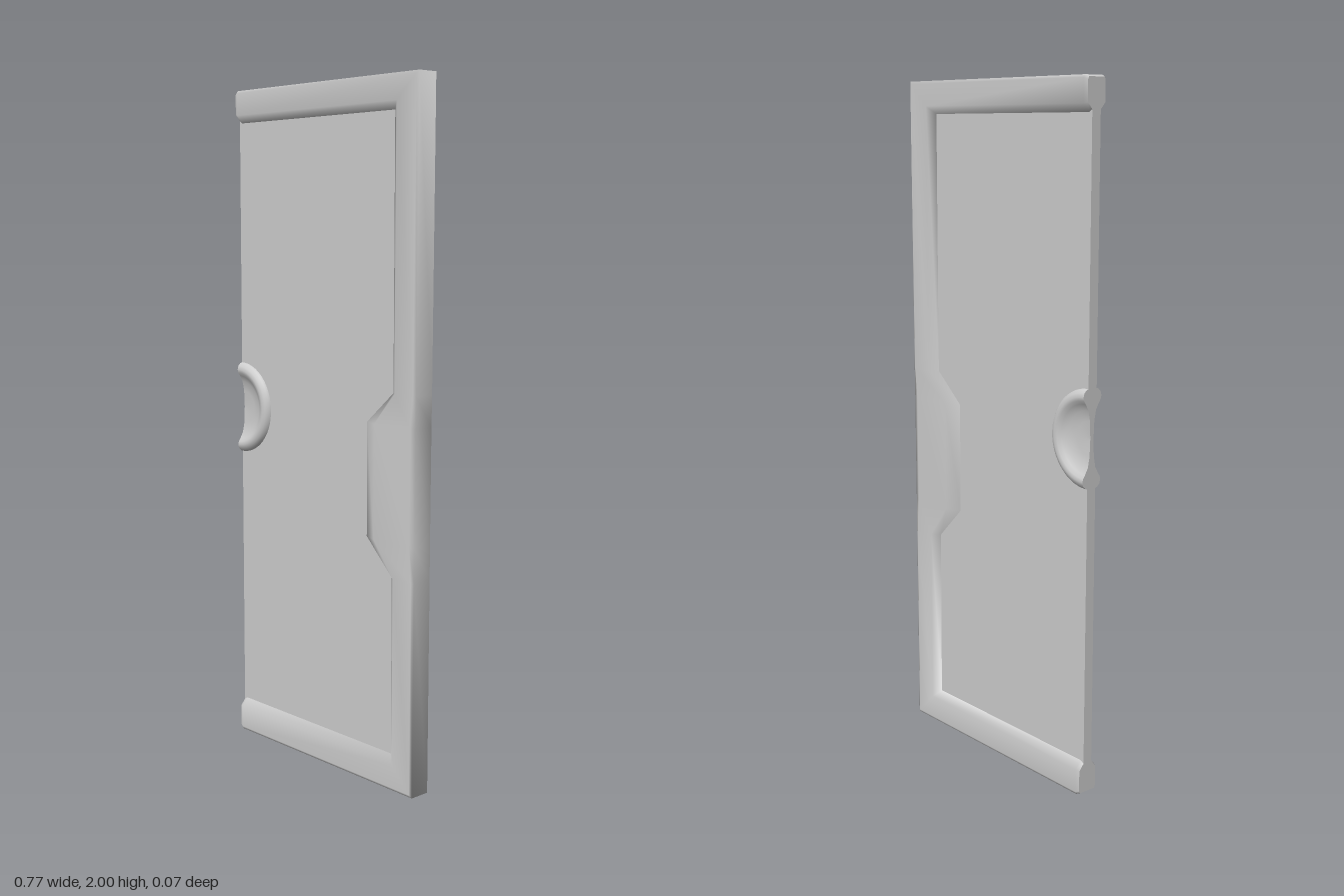
import * as THREE from 'three';

const LEFT = -0.388, PANEL_Z = 0.015, HANDLE_Y = 1.04;

// Sweeps a closed cross-section along pairs of outer and inner outline points
function frameGeometry(stations, half) {
  const loop = [...half, ...half.map(([t, z]) => [t, -z]).reverse()];
  const n = loop.length, pos = [], idx = [];
  const ring = ([ox, oy, ix, iy, s = 1]) => {
    for (const [t, z] of loop) pos.push(ox + (ix - ox) * t, oy + (iy - oy) * t, z * s);
  };
  stations.forEach(ring);
  for (let i = 0; i < stations.length - 1; i++) {
    for (let j = 0; j < n; j++) {
      const a = i * n + j, b = i * n + (j + 1) % n;
      idx.push(a, b, a + n, b, b + n, a + n);
    }
  }
  // flat caps on the two open ends, with their own vertices
  [stations[0], stations[stations.length - 1]].forEach((st, end) => {
    const base = pos.length / 3;
    ring(st);
    for (let j = 1; j < n - 1; j++) {
      idx.push(base, base + (end ? j : j + 1), base + (end ? j + 1 : j));
    }
  });
  const g = new THREE.BufferGeometry();
  g.setAttribute('position', new THREE.Float32BufferAttribute(pos, 3));
  g.setIndex(idx);
  g.computeVertexNormals();
  return g;
}

export function createModel() {
  const group = new THREE.Group();
  group.name = 'slidingDoor';
  const mat = new THREE.MeshStandardMaterial({ color: 0xcccccc });
  const add = (name, geometry, parent = group) => {
    const mesh = new THREE.Mesh(geometry, mat);
    mesh.name = name;
    parent.add(mesh);
    return mesh;
  };

  // Thin panel with a half-round notch for the handle
  const s = new THREE.Shape();
  s.moveTo(LEFT, 0.03);
  s.lineTo(0.34, 0.03);
  s.lineTo(0.34, 1.97);
  s.lineTo(LEFT, 1.97);
  s.lineTo(LEFT, HANDLE_Y + 0.095);
  s.absarc(LEFT, HANDLE_Y, 0.095, Math.PI / 2, -Math.PI / 2, true);
  s.closePath();
  const panel = new THREE.ExtrudeGeometry(s, { depth: 2 * PANEL_Z, bevelEnabled: false, curveSegments: 24 });
  add('panel', panel.translate(0, 0, -PANEL_Z));

  // Raised frame on three sides, widened on the right: outer x, y, inner x, y, depth scale
  const stations = [
    [LEFT, 1.995, LEFT, 1.91, 0.88],
    [LEFT + 0.012, 2, LEFT + 0.012, 1.905],
    [0.387, 2, 0.28, 1.905],
    [0.384, 1.14, 0.28, 1.14],
    [0.383, 1.05, 0.175, 1.05],
    [0.382, 0.72, 0.175, 0.72],
    [0.382, 0.62, 0.277, 0.62],
    [0.381, 0, 0.28, 0.1],
    [LEFT + 0.012, 0, LEFT + 0.012, 0.1],
    [LEFT, 0.005, LEFT, 0.095, 0.88],
  ];
  add('frame', frameGeometry(stations, [[0, 0.031], [0.08, 0.035], [0.76, 0.035], [1, 0.0145]]));

  // Half-round handle with a rim and a dished centre on both faces
  const handle = new THREE.Group();
  handle.name = 'handle';
  handle.position.set(LEFT, HANDLE_Y, 0);
  group.add(handle);
  const profile = [
    [0.14, 0.013], [0.137, 0.022], [0.129, 0.03], [0.118, 0.033], [0.108, 0.031],
    [0.098, 0.024], [0.08, 0.014], [0.05, 0.008], [0, 0.006],
  ].map(([r, z]) => new THREE.Vector2(r, z));
  for (const [name, side] of [['frontDish', 1], ['backDish', -1]]) {
    add(name, new THREE.LatheGeometry(profile, 32, 0, Math.PI).rotateX(side * Math.PI / 2), handle);
  }

  // Flat cut face of the handle along the door's edge
  const up = profile.map(p => [p.y, -p.x]);
  const front = [...up, ...up.slice(0, -1).reverse().map(([z, y]) => [z, -y])];
  const back = front.map(([z, y]) => [-z, y]).reverse();
  const cut = new THREE.Shape([...front, ...back].map(([z, y]) => new THREE.Vector2(z, y)));
  add('handleEdge', new THREE.ShapeGeometry(cut).rotateY(-Math.PI / 2), handle);

  return group;
}
